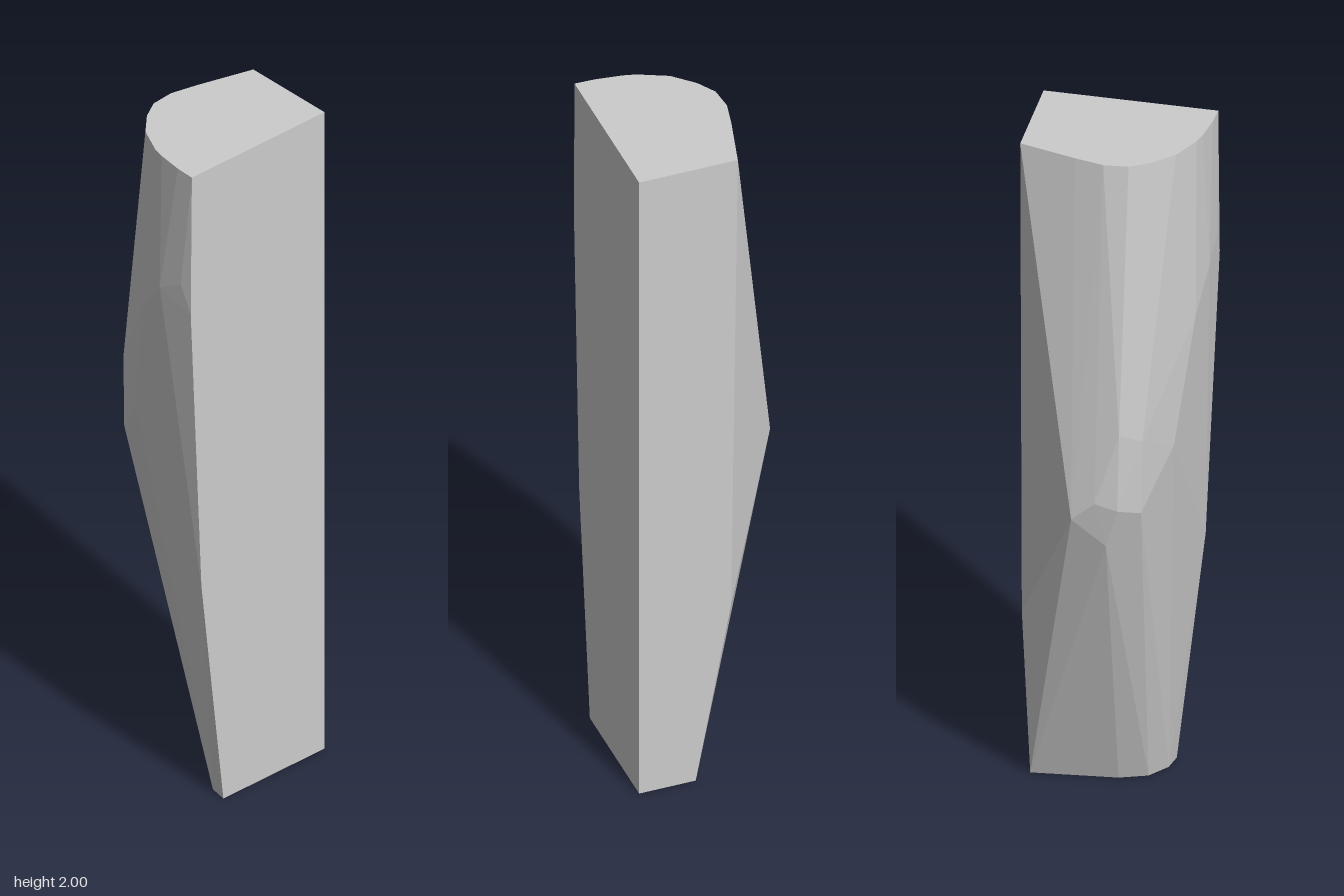
import * as THREE from 'three';
import { ConvexGeometry } from 'three/addons/geometries/ConvexGeometry.js';

export function createModel() {
  const group = new THREE.Group();
  group.name = 'facetedBlock';
  const grey = new THREE.MeshStandardMaterial({ color: 0xcccccc });
  grey.name = 'plain grey';

  // Flat top outline: straight front, rounded back corner
  const top = [
    [0.238, 0.222], [0.238, -0.057], [0.08, -0.1], [0, -0.118], [-0.067, -0.112],
    [-0.12, -0.08], [-0.175, -0.025], [-0.213, 0.055], [-0.222, 0.09],
    [-0.232, 0.165], [-0.234, 0.222],
  ].map(([x, z]) => [x, 2, z]);

  // Narrower flat foot
  const foot = [
    [0.238, 0.222], [0.238, 0.062], [0.005, 0.087], [-0.07, 0.115],
    [-0.112, 0.17], [-0.122, 0.222],
  ].map(([x, z]) => [x, 0, z]);

  // Bulge across the back and the rounded side
  const bulge = [
    [0.238, 0.55, -0.038], [0.065, 0.96, -0.215], [0, 1.02, -0.222],
    [-0.06, 1.0, -0.215], [-0.115, 0.98, -0.175], [-0.025, 0.88, -0.198],
    [-0.063, 1.23, -0.208], [-0.118, 1.2, -0.174], [-0.178, 1.13, -0.06],
    [-0.22, 1.49, 0.015], [-0.238, 1.6, 0.1], [-0.24, 1.65, 0.185],
    [-0.238, 1.57, 0.222], [-0.2, 0.7, 0.222],
  ];

  // All facets come from the convex skin around the three sections
  const points = [...top, ...foot, ...bulge].map((p) => new THREE.Vector3(...p));
  const body = new THREE.Mesh(new ConvexGeometry(points), grey);
  body.name = 'body';
  group.add(body);
  return group;
}
